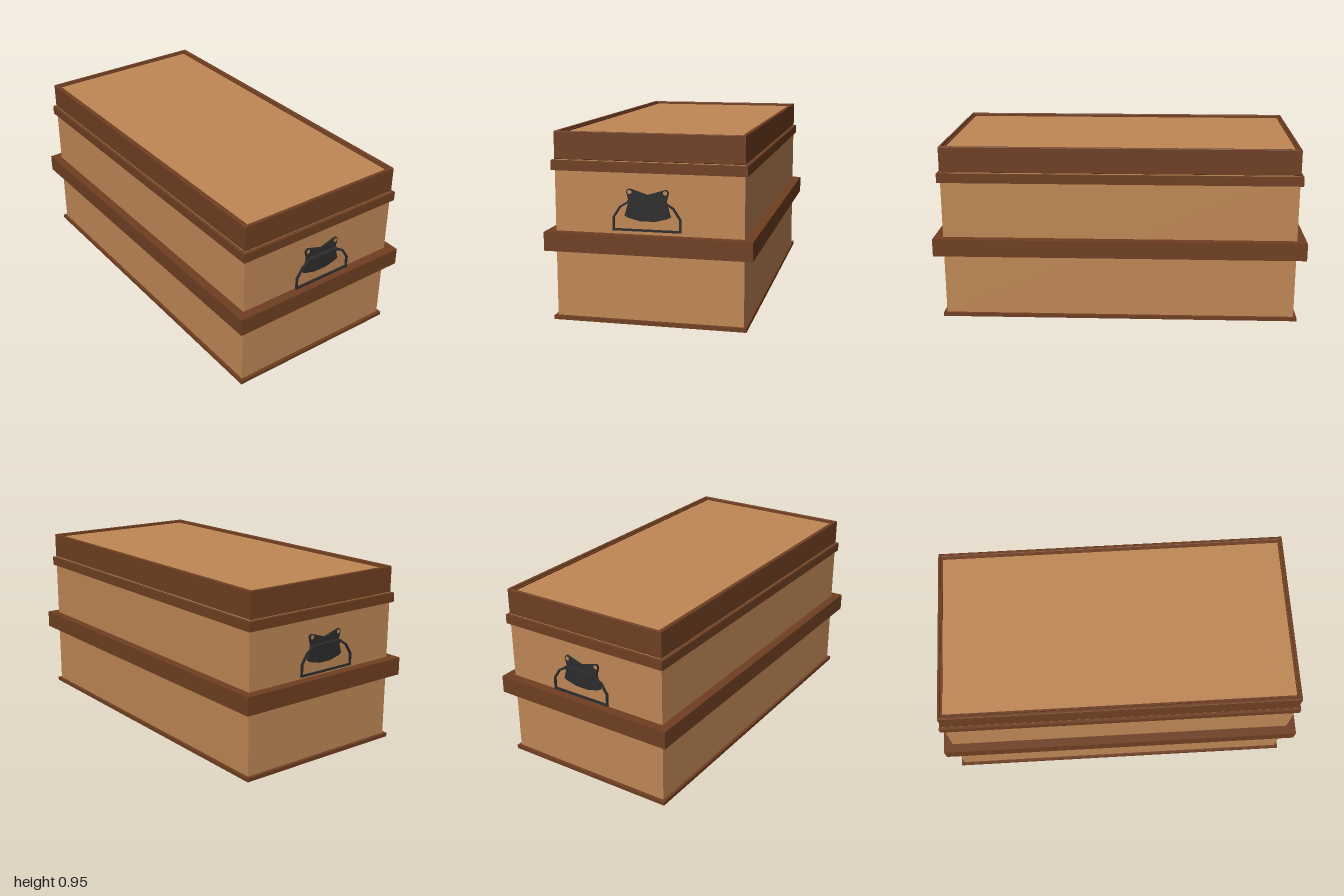
import * as THREE from 'three';

const mat = (name, color) => {
  const m = new THREE.MeshStandardMaterial({ color });
  m.name = name;
  return m;
};

export function createModel() {
  const tan = mat('tan wood', 0xc08856);
  const brown = mat('dark brown wood', 0x703f22);
  const iron = mat('black iron', 0x2c2c2c);
  const chest = new THREE.Group();
  chest.name = 'chest';

  const add = (parent, name, geometry, material) => {
    const mesh = new THREE.Mesh(geometry, material);
    mesh.name = name;
    parent.add(mesh);
    return mesh;
  };
  // Box given by half width, half depth, bottom and top
  const slab = (name, hx, hz, y0, y1, material) => {
    const mesh = add(chest, name, new THREE.BoxGeometry(hx * 2, y1 - y0, hz * 2), material);
    mesh.position.y = (y0 + y1) / 2;
  };
  const rectangle = (Type, hx, hz) => new Type([
    [-hx, -hz], [hx, -hz], [hx, hz], [-hx, hz],
  ].map(([x, y]) => new THREE.Vector2(x, y)));
  // Hollow rectangular frame lying flat
  const frame = (name, hx, hz, ix, iz, y0, y1, bevel = 0) => {
    const shape = rectangle(THREE.Shape, hx - bevel, hz - bevel);
    shape.holes.push(rectangle(THREE.Path, ix + bevel, iz + bevel));
    const g = new THREE.ExtrudeGeometry(shape, {
      depth: y1 - y0 - bevel * 2, bevelEnabled: bevel > 0,
      bevelSize: bevel, bevelThickness: bevel, bevelSegments: 1,
    });
    g.rotateX(-Math.PI / 2).translate(0, y0 + bevel, 0);
    add(chest, name, g, brown);
  };

  // Body and its trims
  slab('body', 0.475, 0.95, 0.015, 0.815, tan);
  slab('baseTrim', 0.49, 0.967, 0, 0.02, brown);
  frame('middleBand', 0.523, 1, 0.47, 0.945, 0.36, 0.455);
  frame('upperTrim', 0.49, 0.967, 0.47, 0.945, 0.76, 0.81);

  // Lid: bevelled rim, inner step and recessed panel
  frame('lidRim', 0.476, 0.952, 0.458, 0.938, 0.813, 0.953, 0.003);
  frame('lidInnerStep', 0.46, 0.94, 0.446, 0.927, 0.815, 0.944);
  slab('lidPanel', 0.448, 0.929, 0.81, 0.938, tan);

  // Handle plate outline with two rounded ears
  const plate = new THREE.Shape();
  plate.moveTo(0, 0.655);
  plate.lineTo(0.092, 0.683);
  plate.absarc(0.089, 0.667, 0.016, Math.PI / 2, -0.3, true);
  plate.lineTo(0.094, 0.622);
  plate.lineTo(0.115, 0.549);
  plate.lineTo(0.097, 0.54);
  plate.lineTo(0.038, 0.525);
  plate.lineTo(-0.038, 0.525);
  plate.lineTo(-0.097, 0.54);
  plate.lineTo(-0.115, 0.549);
  plate.lineTo(-0.094, 0.622);
  plate.absarc(-0.089, 0.667, 0.016, Math.PI + 0.3, Math.PI / 2, true);
  plate.closePath();
  for (const s of [-1, 1]) {
    plate.holes.push(new THREE.Path().absarc(s * 0.089, 0.667, 0.011, 0, Math.PI * 2, true));
  }
  const plateGeometry = new THREE.ExtrudeGeometry(plate, { depth: 0.011, bevelEnabled: false, curveSegments: 8 });
  plateGeometry.translate(0, 0, 0.957);

  // Swinging bail: outer outline with an inner opening
  const outline = (Type, rows) => new Type([
    ...rows, ...rows.slice().reverse().map(([x, y]) => [-x, y]),
  ].map(([x, y]) => new THREE.Vector2(x, y)));
  const bail = outline(THREE.Shape, [[0.171, 0.478], [0.171, 0.545], [0.136, 0.599], [0.095, 0.624]]);
  bail.holes.push(outline(THREE.Path, [[0.161, 0.488], [0.161, 0.542], [0.129, 0.592], [0.093, 0.614]]));
  const bailGeometry = new THREE.ExtrudeGeometry(bail, { depth: 0.01, bevelEnabled: false });
  bailGeometry.translate(0, 0, 0.976);

  // One handle on each end
  for (const [name, turn] of [['frontHandle', 0], ['backHandle', Math.PI]]) {
    const handle = new THREE.Group();
    handle.name = name;
    handle.rotation.y = turn;
    add(handle, 'handlePlate', plateGeometry, iron);
    add(handle, 'handleBail', bailGeometry, iron);
    const hinge = add(handle, 'handleHinge', new THREE.BoxGeometry(0.188, 0.015, 0.026), iron);
    hinge.position.set(0, 0.621, 0.976);
    chest.add(handle);
  }
  return chest;
}
